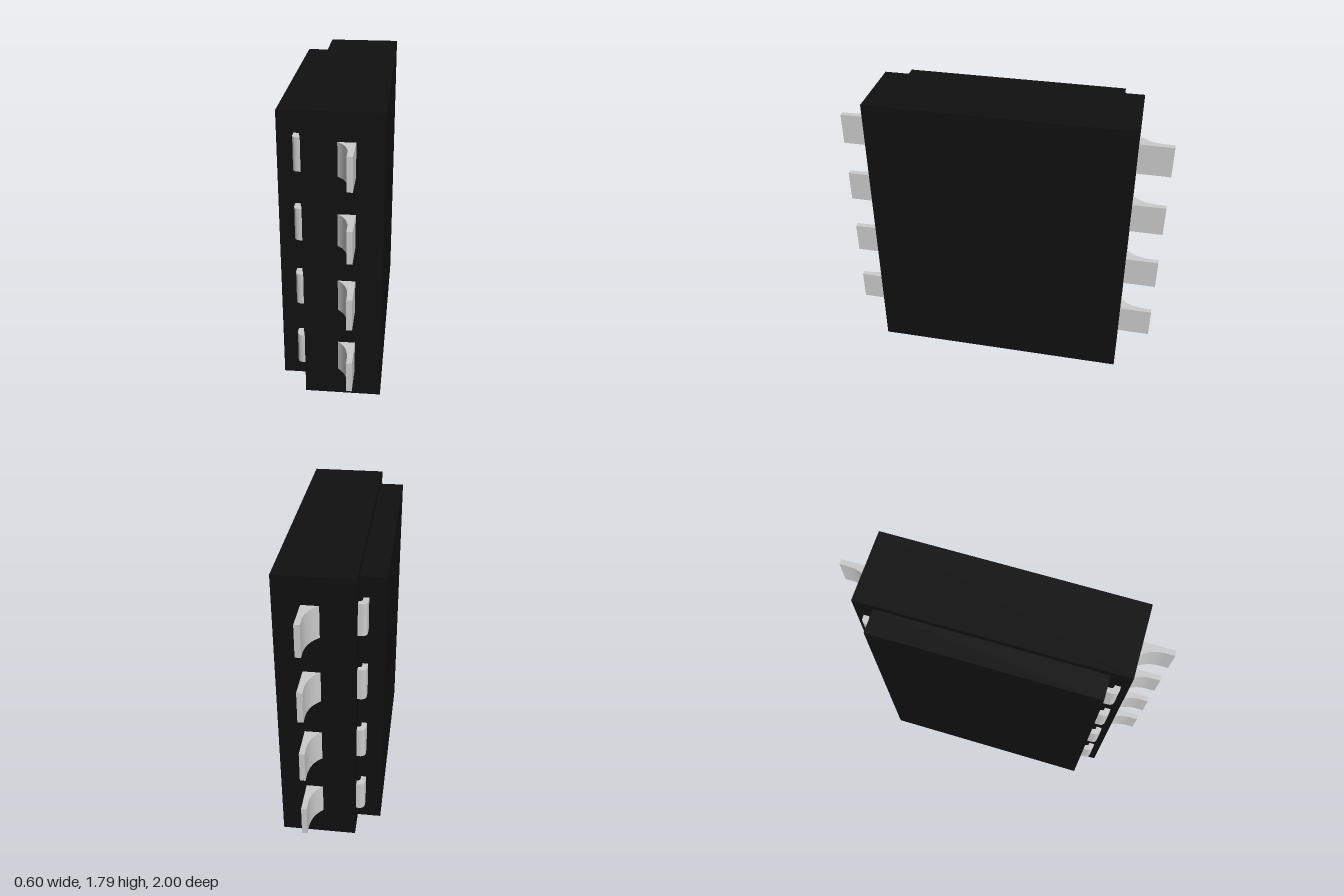
import * as THREE from 'three';

const BLACK = new THREE.MeshStandardMaterial({ color: 0x101010 });
const GREY = new THREE.MeshStandardMaterial({ color: 0xcccccc });

// Box given by its minimum and maximum corners
function block(name, min, max) {
  const size = max.map((v, i) => v - min[i]);
  const mesh = new THREE.Mesh(new THREE.BoxGeometry(...size), BLACK);
  mesh.position.set(...max.map((v, i) => (v + min[i]) / 2));
  mesh.name = name;
  return mesh;
}

// Solder tail: flat tab flaring out into the housing (profile in x, z)
function tailShape(s) {
  const p = new THREE.Shape();
  p.moveTo(0.145, 0.78 * s);
  p.lineTo(0.145, 1.0 * s);
  p.lineTo(0.112, 1.0 * s);
  p.lineTo(0.112, 0.94 * s);
  p.quadraticCurveTo(0.106, 0.845 * s, 0.045, 0.797 * s);
  p.lineTo(0.045, 0.78 * s);
  p.closePath();
  return p;
}

// Contact hook: strip bent round from the raised block to the housing
function hookShape(s) {
  const p = new THREE.Shape();
  p.moveTo(-0.205, 0.65 * s);
  p.lineTo(-0.205, 0.715 * s);
  p.quadraticCurveTo(-0.205, 0.752 * s, -0.168, 0.752 * s);
  p.lineTo(-0.14, 0.752 * s);
  p.lineTo(-0.14, 0.718 * s);
  p.lineTo(-0.155, 0.718 * s);
  p.quadraticCurveTo(-0.174, 0.718 * s, -0.174, 0.699 * s);
  p.lineTo(-0.174, 0.65 * s);
  p.closePath();
  return p;
}

export function createModel() {
  const group = new THREE.Group();
  group.name = 'connector';

  // Housing and the raised block on its right side
  group.add(block('housing', [-0.152, 0, -0.797], [0.3, 1.79, 0.797]));
  group.add(block('raisedBlock', [-0.3, 0.047, -0.677], [-0.152, 1.748, 0.677]));

  // Four rows of tails and hooks at both ends
  const width = 0.195;
  for (const s of [1, -1]) {
    const end = s > 0 ? 'front' : 'back';
    for (const [part, shape] of [['Tail', tailShape(s)], ['Hook', hookShape(s)]]) {
      const geometry = new THREE.ExtrudeGeometry(shape, { depth: width, bevelEnabled: false, curveSegments: 8 });
      geometry.rotateX(Math.PI / 2);
      for (let i = 0; i < 4; i++) {
        const mesh = new THREE.Mesh(geometry, GREY);
        mesh.position.y = 0.37 + i * 0.418;
        mesh.name = `${end}${part}${i + 1}`;
        group.add(mesh);
      }
    }
  }
  return group;
}
